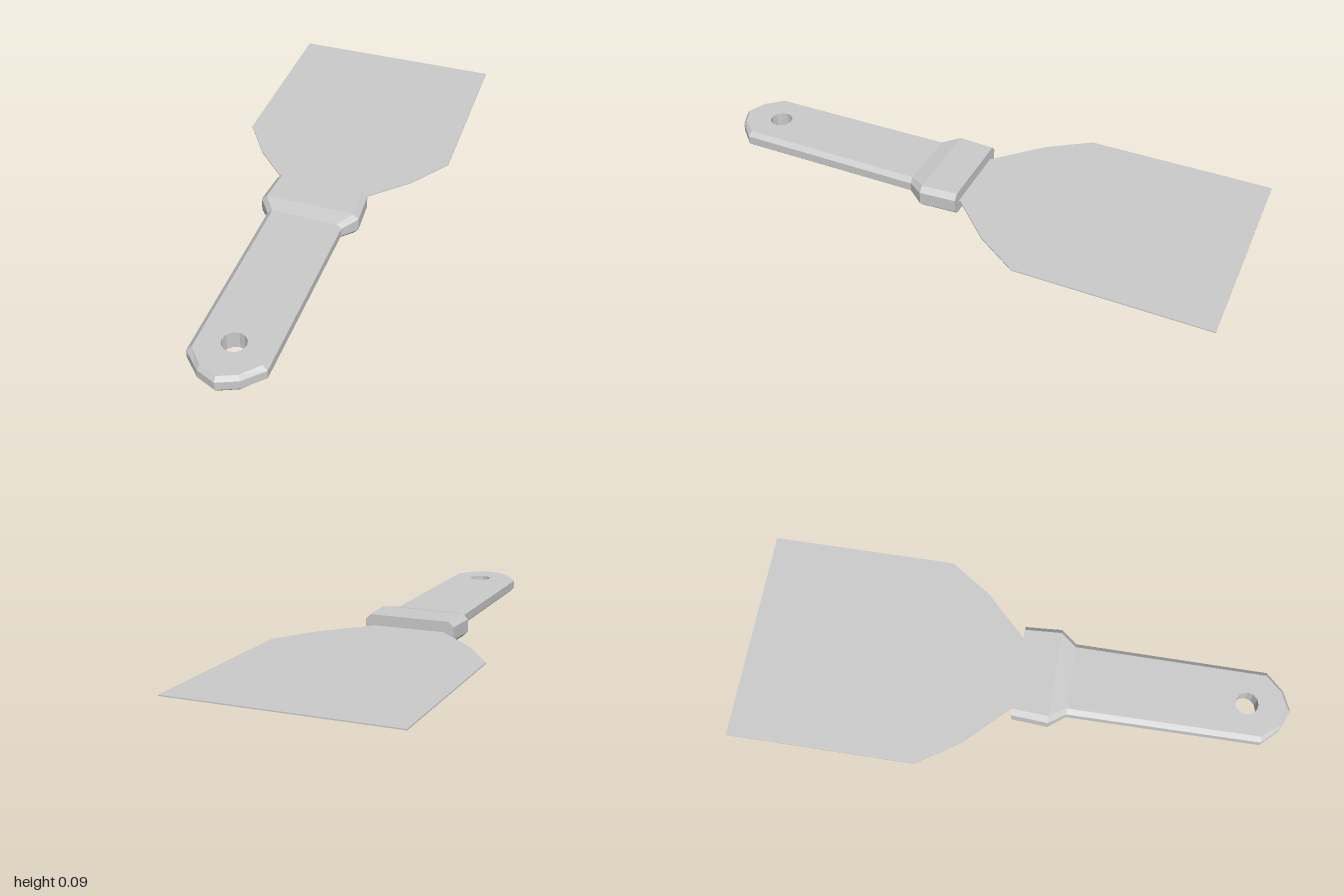
import * as THREE from 'three';

const MID = 0.043; // height of the blade plane
const material = new THREE.MeshStandardMaterial({ color: 0xcccccc, flatShading: true });

// Handle stations: z, half width, inset z, inset half width, half height, shoulder half height
const STATIONS = [
  [0.005, 0.174, 0.005, 0.155, 0.043, 0.024],
  [0.14, 0.183, 0.14, 0.163, 0.043, 0.024],
  [0.2, 0.138, 0.2, 0.12, 0.032, 0.016],
  [0.905, 0.134, 0.9, 0.117, 0.032, 0.016],
  [0.97, 0.07, 0.96, 0.064, 0.032, 0.016],
  [1.0, 0, 0.987, 0, 0.032, 0.016],
];
const GRIP = 2; // first station of the flat grip
const HOLE = { z: 0.84, r: 0.042, sides: 12 };

// One closed outline of the handle at a given level
function ring(inset, sign) {
  const right = STATIONS.map(([z, w, zi, wi, h, s]) =>
    new THREE.Vector3(inset ? wi : w, MID + sign * (inset ? h : s), inset ? zi : z));
  const left = right.slice(0, -1).reverse().map(p => new THREE.Vector3(-p.x, p.y, p.z));
  return [...right, ...left];
}

function handleGeometry() {
  const pos = [];
  const tri = (a, b, c) => [a, b, c].forEach(p => pos.push(p.x, p.y, p.z));
  // Triangle turned so that it faces up (1) or down (-1)
  const flatTri = (a, b, c, sign) => {
    const ny = (b.z - a.z) * (c.x - a.x) - (b.x - a.x) * (c.z - a.z);
    if (ny * sign > 0) tri(a, b, c);
    else tri(a, c, b);
  };
  const wall = (low, high, inward) => low.forEach((a, i) => {
    const j = (i + 1) % low.length;
    if (inward) {
      tri(a, high[j], high[i]);
      tri(a, low[j], high[j]);
    } else {
      tri(a, high[i], high[j]);
      tri(a, high[j], low[j]);
    }
  });

  // Chamfered sides
  const rings = [ring(true, -1), ring(false, -1), ring(false, 1), ring(true, 1)];
  for (let k = 0; k < 3; k++) wall(rings[k], rings[k + 1], false);

  // Upper and lower faces: stepped collar, then the grip with its hole
  const holes = [];
  for (const sign of [-1, 1]) {
    const loop = rings[sign < 0 ? 0 : 3];
    const n = loop.length;
    for (let i = 0; i < GRIP; i++) {
      const [r0, r1, l1, l0] = [loop[i], loop[i + 1], loop[n - 2 - i], loop[n - 1 - i]];
      flatTri(r0, r1, l1, sign);
      flatTri(r0, l1, l0, sign);
    }
    const grip = loop.slice(GRIP, n - GRIP);
    const hole = Array.from({ length: HOLE.sides }, (_, i) => {
      const a = -i / HOLE.sides * Math.PI * 2;
      return new THREE.Vector3(HOLE.r * Math.cos(a), grip[0].y, HOLE.z - HOLE.r * Math.sin(a));
    });
    holes.push(hole);
    const flat = list => list.map(p => new THREE.Vector2(p.x, p.z));
    const points = [...grip, ...hole];
    for (const [a, b, c] of THREE.ShapeUtils.triangulateShape(flat(grip), [flat(hole)]))
      flatTri(points[a], points[b], points[c], sign);
  }
  wall(holes[0], holes[1], true);

  const geometry = new THREE.BufferGeometry();
  geometry.setAttribute('position', new THREE.Float32BufferAttribute(pos, 3));
  geometry.computeVertexNormals();
  return geometry;
}

// Thin blade, flaring from the collar to a straight edge
function bladeGeometry() {
  const half = [[0.14, 0.02], [0.14, 0], [0.295, -0.155], [0.4, -0.31], [0.4, -1]];
  const outline = [...half, ...half.map(([x, z]) => [-x, z]).reverse()];
  const shape = new THREE.Shape(outline.map(([x, z]) => new THREE.Vector2(x, -z)));
  const geometry = new THREE.ExtrudeGeometry(shape, { depth: 0.004, bevelEnabled: false });
  return geometry.rotateX(-Math.PI / 2).translate(0, MID - 0.002, 0);
}

export function createModel() {
  const model = new THREE.Group();
  model.name = 'scraper';
  for (const [name, geometry] of [['handle', handleGeometry()], ['blade', bladeGeometry()]]) {
    const mesh = new THREE.Mesh(geometry, material);
    mesh.name = name;
    model.add(mesh);
  }
  return model;
}
